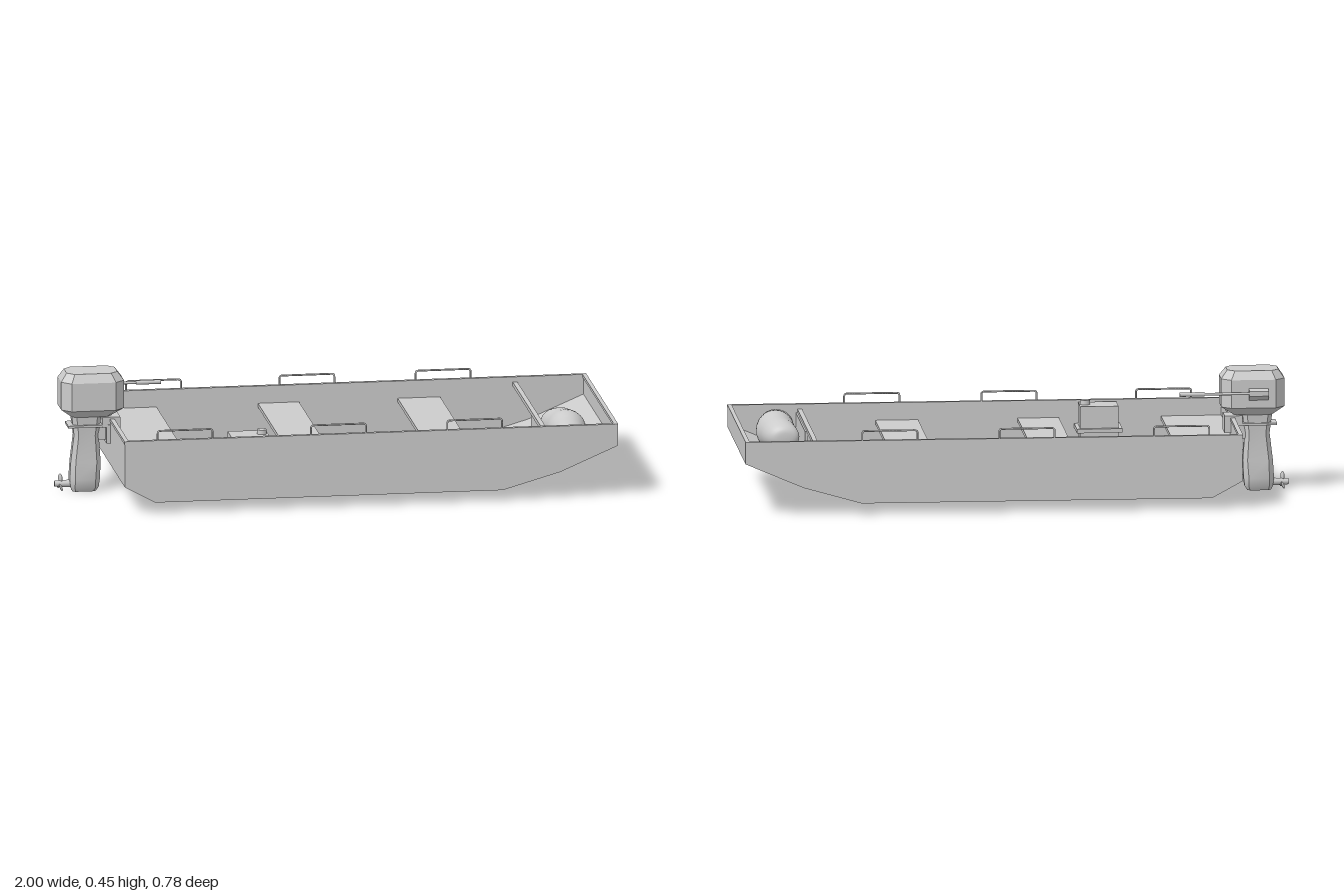
import * as THREE from 'three';
import { toCreasedNormals } from 'three/addons/utils/BufferGeometryUtils.js';

const material = new THREE.MeshStandardMaterial({ color: 0xcccccc, side: THREE.DoubleSide });

function add(parent, name, geometry, x = 0, y = 0, z = 0) {
  const mesh = new THREE.Mesh(geometry, material);
  mesh.name = name;
  mesh.position.set(x, y, z);
  parent.add(mesh);
  return mesh;
}

// Box given by its limits on each axis
function box(parent, name, [x0, x1], [y0, y1], [z0, z1]) {
  return add(parent, name, new THREE.BoxGeometry(x1 - x0, y1 - y0, z1 - z0),
    (x0 + x1) / 2, (y0 + y1) / 2, (z0 + z1) / 2);
}

// Side-view outline extruded across z
function plate(parent, name, points, z0, z1) {
  const shape = new THREE.Shape(points.map(([x, y]) => new THREE.Vector2(x, y)));
  const geometry = new THREE.ExtrudeGeometry(shape, { depth: z1 - z0, bevelEnabled: false });
  return add(parent, name, toCreasedNormals(geometry, 0.6), 0, 0, z0);
}

// Chamfered rectangles [y, x0, x1, halfDepth, chamfer] joined from bottom to top
function loft(sections, crease) {
  const pos = [], index = [], n = 8;
  for (const [y, x0, x1, h, c] of sections) {
    const ring = [[x1, -h + c], [x1, h - c], [x1 - c, h], [x0 + c, h],
      [x0, h - c], [x0, -h + c], [x0 + c, -h], [x1 - c, -h]];
    for (const [x, z] of ring) pos.push(x, y, z);
  }
  for (let s = 0; s < sections.length - 1; s++) {
    for (let i = 0; i < n; i++) {
      const a = s * n + i, b = s * n + (i + 1) % n;
      index.push(a, a + n, b, b, a + n, b + n);
    }
  }
  const top = (sections.length - 1) * n;
  for (let i = 1; i < n - 1; i++) {
    index.push(0, i, i + 1, top, top + i + 1, top + i);
  }
  const geometry = new THREE.BufferGeometry();
  geometry.setAttribute('position', new THREE.Float32BufferAttribute(pos, 3));
  geometry.setIndex(index);
  return toCreasedNormals(geometry, crease);
}

function buildHull(boat) {
  const hull = new THREE.Group();
  hull.name = 'hull';
  boat.add(hull);
  const outer = [[-0.8, 0.28], [-0.8, 0.11], [-0.69, 0.05], [0.58, 0.05],
    [0.79, 0.11], [1, 0.2], [1, 0.28]];
  const inner = [[0.988, 0.28], [0.988, 0.208], [0.785, 0.122], [0.578, 0.062],
    [-0.686, 0.062], [-0.788, 0.117], [-0.788, 0.28]];
  plate(hull, 'bottomAndEnds', [...outer, ...inner], -0.374, 0.374);
  for (const s of [-1, 1]) {
    const z = s * 0.379;
    plate(hull, 'sideWall', outer, z - 0.006, z + 0.006);
    box(hull, 'sideGunwale', [-0.802, 1], [0.27, 0.281], [s * 0.381 - 0.008, s * 0.381 + 0.008]);
  }
  box(hull, 'sternGunwale', [-0.802, -0.786], [0.27, 0.281], [-0.38, 0.38]);
  box(hull, 'bowGunwale', [0.985, 1], [0.27, 0.281], [-0.38, 0.38]);
}

function buildFittings(boat) {
  // Benches
  for (const [x0, x1] of [[-0.788, -0.57], [-0.2, -0.05], [0.31, 0.465]]) {
    box(boat, 'bench', [x0, x1], [0.203, 0.217], [-0.374, 0.374]);
  }
  // Cross bar with a half-width bulkhead below it
  box(boat, 'crossBar', [0.73, 0.747], [0.247, 0.262], [-0.374, 0.374]);
  box(boat, 'bowPanel', [0.743, 0.753], [0.1, 0.25], [-0.02, 0.374]);

  // Grab rails on both sides
  for (const s of [-1, 1]) {
    for (const x of [-0.58, -0.02, 0.477]) {
      const path = new THREE.CurvePath();
      const p = [[-0.1, 0], [-0.1, 0.027], [-0.09, 0.037], [0.09, 0.037], [0.1, 0.027], [0.1, 0]]
        .map(([a, b]) => new THREE.Vector3(a, b, 0));
      path.add(new THREE.LineCurve3(p[0], p[1]));
      path.add(new THREE.QuadraticBezierCurve3(p[1], new THREE.Vector3(-0.1, 0.037, 0), p[2]));
      path.add(new THREE.LineCurve3(p[2], p[3]));
      path.add(new THREE.QuadraticBezierCurve3(p[3], new THREE.Vector3(0.1, 0.037, 0), p[4]));
      path.add(new THREE.LineCurve3(p[4], p[5]));
      add(boat, 'grabRail', new THREE.TubeGeometry(path, 60, 0.0035, 8), x, 0.278, s * 0.381);
    }
  }

  // Fuel tank
  const tank = new THREE.Group();
  tank.name = 'fuelTank';
  boat.add(tank);
  box(tank, 'tankBody', [-0.407, -0.268], [0.062, 0.275], [0.263, 0.36]);
  box(tank, 'tankFlange', [-0.42, -0.255], [0.18, 0.195], [0.25, 0.372]);
  add(tank, 'tankCap', new THREE.CylinderGeometry(0.017, 0.018, 0.016, 16), -0.29, 0.283, 0.315);

  // Soft bag lying across the bow
  const profile = [[0, -0.165], [0.035, -0.162], [0.055, -0.145], [0.063, -0.11], [0.064, -0.06],
    [0.07, 0], [0.064, 0.06], [0.063, 0.11], [0.055, 0.145], [0.035, 0.162], [0, 0.165]]
    .map(([r, y]) => new THREE.Vector2(r, y));
  const bag = new THREE.LatheGeometry(new THREE.SplineCurve(profile).getPoints(30), 24);
  bag.rotateX(Math.PI / 2);
  const v = bag.attributes.position;
  for (let i = 0; i < v.count; i++) {
    const t = v.getZ(i) / 0.165;
    v.setX(i, v.getX(i) + 0.012 * (1 - 2 * t * t));
    v.setY(i, v.getY(i) * (1.05 - 0.3 * t * t));
  }
  bag.computeVertexNormals();
  add(boat, 'bag', bag, 0.83, 0.218, 0.195);
}

function buildMotor(boat) {
  const motor = new THREE.Group();
  motor.name = 'outboardMotor';
  boat.add(motor);
  add(motor, 'cowl', loft([
    [0.29, -0.94, -0.8, 0.038, 0.015],
    [0.322, -0.981, -0.752, 0.078, 0.034],
    [0.425, -0.981, -0.752, 0.078, 0.034],
    [0.456, -0.96, -0.775, 0.06, 0.026],
  ], 0.4));
  add(motor, 'leg', loft([
    [0.01, -0.935, -0.85, 0.02, 0.01],
    [0.025, -0.942, -0.84, 0.028, 0.014],
    [0.055, -0.946, -0.836, 0.036, 0.018],
    [0.12, -0.942, -0.833, 0.032, 0.016],
    [0.22, -0.93, -0.84, 0.03, 0.015],
    [0.3, -0.94, -0.83, 0.038, 0.016],
  ], 0.5));
  box(motor, 'collar', [-0.955, -0.8], [0.252, 0.26], [-0.042, 0.042]);

  // Transom clamp
  box(motor, 'clampTop', [-0.83, -0.765], [0.25, 0.288], [-0.04, 0.04]);
  box(motor, 'clampOuter', [-0.815, -0.8], [0.19, 0.27], [-0.04, 0.04]);
  box(motor, 'clampInner', [-0.788, -0.765], [0.225, 0.28], [-0.04, 0.04]);
  box(motor, 'swivel', [-0.86, -0.81], [0.2, 0.25], [-0.018, 0.018]);

  // Tiller
  const mount = new THREE.Shape([[0.07, 0.345], [0.105, 0.37], [0.105, 0.388], [0.07, 0.395]]
    .map(([x, y]) => new THREE.Vector2(x, y)));
  const mountGeo = new THREE.ExtrudeGeometry(mount, { depth: 0.07, bevelEnabled: false });
  mountGeo.rotateY(Math.PI / 2);
  add(motor, 'tillerMount', mountGeo, -0.92, 0, 0);
  const rodGeo = new THREE.CylinderGeometry(0.005, 0.005, 0.2, 10).rotateZ(Math.PI / 2);
  add(motor, 'tillerRod', rodGeo, -0.77, 0.379, -0.097);
  const gripGeo = new THREE.CylinderGeometry(0.008, 0.008, 0.09, 12).rotateZ(Math.PI / 2);
  add(motor, 'tillerGrip', gripGeo, -0.642, 0.379, -0.097);

  // Propeller
  const propeller = new THREE.Group();
  propeller.name = 'propeller';
  propeller.position.set(-0.978, 0.038, 0);
  motor.add(propeller);
  add(propeller, 'hub', new THREE.CylinderGeometry(0.011, 0.014, 0.06, 12).rotateZ(Math.PI / 2), 0.008);
  for (let i = 0; i < 3; i++) {
    const blade = new THREE.SphereGeometry(1, 12, 8).scale(0.003, 0.016, 0.012);
    blade.rotateY(0.6).translate(0, 0.021, 0).rotateX(i * Math.PI * 2 / 3);
    add(propeller, 'blade', blade);
  }
}

export function createModel() {
  const boat = new THREE.Group();
  boat.name = 'flatBottomBoat';
  buildHull(boat);
  buildFittings(boat);
  buildMotor(boat);
  // The mount's depth runs along x, so mirror it onto the tiller side
  const mount = boat.getObjectByName('tillerMount');
  mount.geometry.rotateX(0);
  return boat;
}
